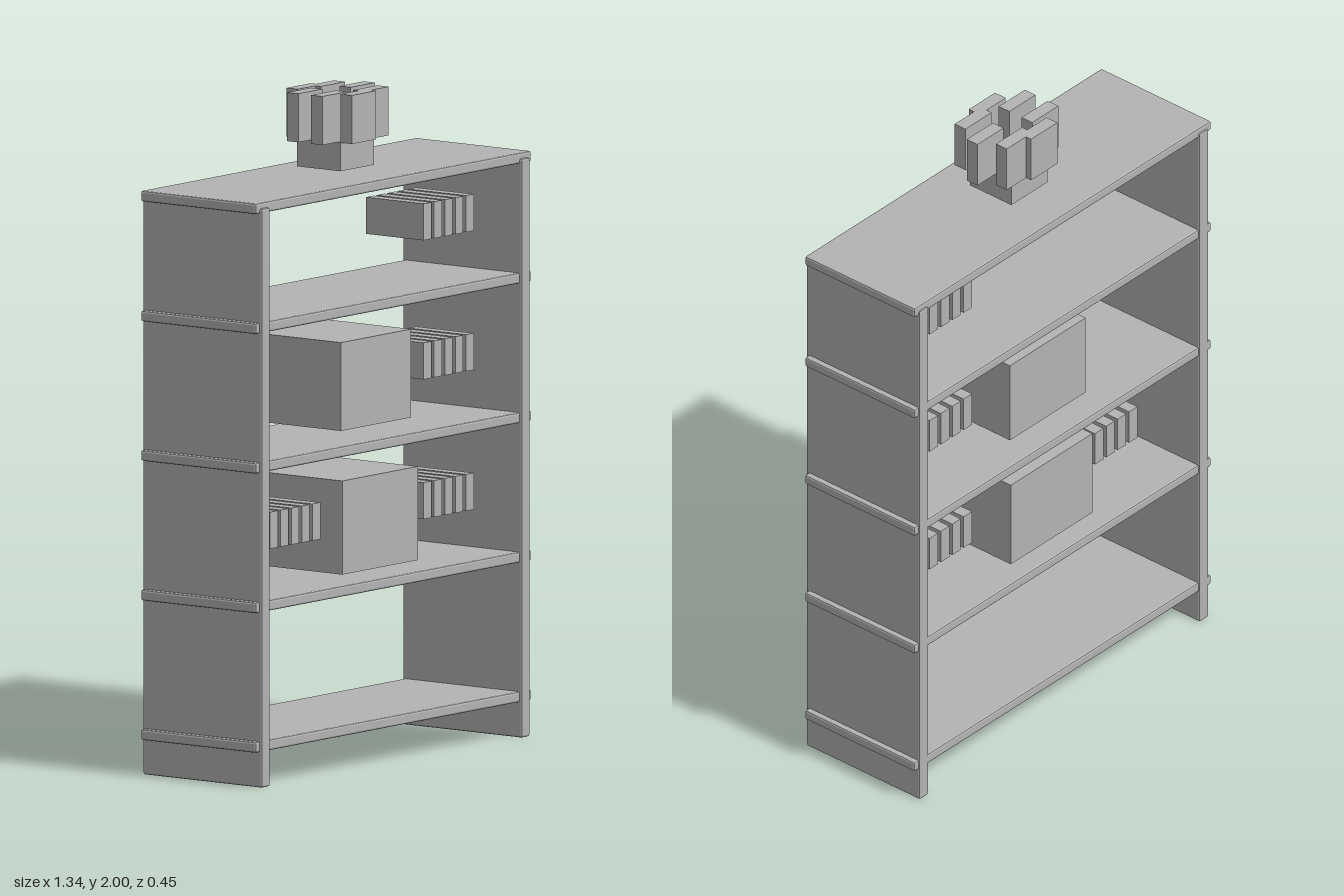
import * as THREE from 'three';
import { RoundedBoxGeometry } from 'three/addons/geometries/RoundedBoxGeometry.js';

export function createModel() {
  const model = new THREE.Group();
  model.name = 'bookshelf';
  const grey = new THREE.MeshStandardMaterial({ color: 0xb3b3b3 });
  grey.name = 'grey';
  const zMid = -0.002;

  function add(parent, name, geometry, x, y, z = zMid) {
    const mesh = new THREE.Mesh(geometry, grey);
    mesh.name = name;
    mesh.position.set(x, y, z);
    parent.add(mesh);
  }

  function group(name) {
    const g = new THREE.Group();
    g.name = name;
    model.add(g);
    return g;
  }

  // Board with a small flat-faceted bevel
  function board(w, h, d) {
    const geometry = new RoundedBoxGeometry(w, h, d, 1, 0.006);
    geometry.computeVertexNormals();
    return geometry;
  }

  // Upright side panels
  const panel = board(0.04, 1.736, 0.446);
  add(model, 'leftPanel', panel, 0.632, 0.868, 0);
  add(model, 'rightPanel', panel, -0.632, 0.868, 0);

  // Five shelves whose ends pass through the panels
  const shelf = board(1.34, 0.032, 0.432);
  const shelves = group('shelves');
  for (let i = 0; i < 5; i++) {
    const y = i < 4 ? 0.122 + i * 0.4185 : 1.737;
    add(shelves, 'shelf', shelf, 0, y);
  }

  // Rows of five books: [centre x, centre y]
  const book = new THREE.BoxGeometry(0.038, 0.11, 0.216);
  for (const [x, y] of [[0.408, 1.575], [0.408, 1.158], [0.408, 0.739], [-0.339, 0.739]]) {
    const row = group('bookRow');
    for (let i = -2; i <= 2; i++) add(row, 'book', book, x + i * 0.0515, y);
  }

  // Storage boxes
  add(model, 'upperBox', new THREE.BoxGeometry(0.342, 0.265, 0.306), -0.004, 1.14);
  add(model, 'lowerBox', new THREE.BoxGeometry(0.368, 0.281, 0.336), -0.004, 0.72);

  // Potted plant: square pot and a ring of seven block leaves
  const plant = group('plant');
  add(plant, 'pot', new THREE.BoxGeometry(0.163, 0.085, 0.163), -0.003, 1.8115);
  const leaf = new THREE.BoxGeometry(0.118, 0.146, 0.042);
  for (let i = 0; i < 7; i++) {
    const a = (i / 7) * Math.PI * 2;
    add(plant, 'leaf', leaf, Math.cos(a) * 0.103, 1.927, zMid + Math.sin(a) * 0.104);
  }

  return model;
}
